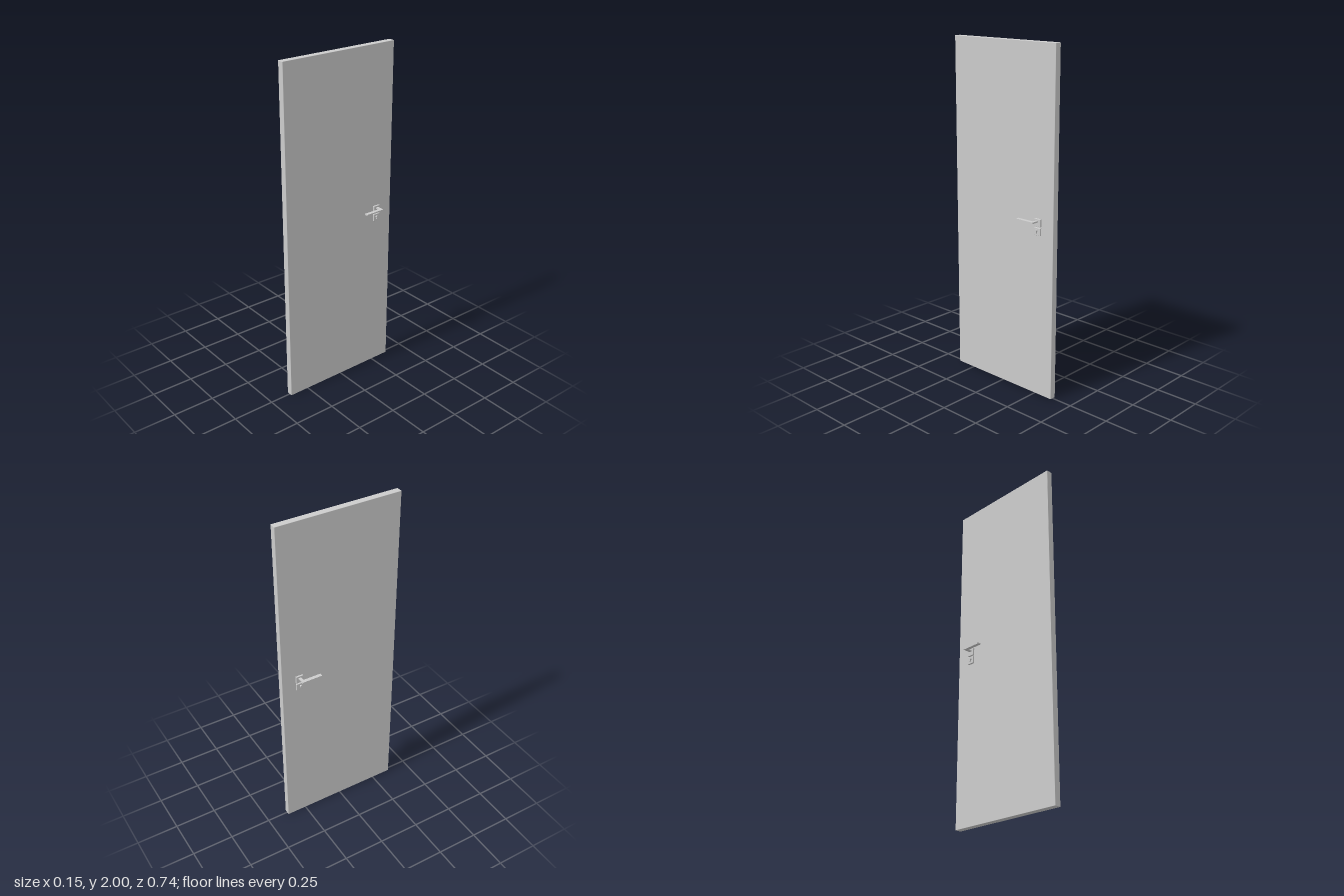
import * as THREE from 'three';
import { RoundedBoxGeometry } from 'three/addons/geometries/RoundedBoxGeometry.js';

const material = new THREE.MeshStandardMaterial({ color: 0xcccccc });
const LOCK_Z = -0.264;

function part(name, geometry, x = 0, y = 0, z = 0) {
  const mesh = new THREE.Mesh(geometry, material);
  mesh.name = name;
  mesh.position.set(x, y, z);
  return mesh;
}

// Square cover plate standing off the door face
function plate(name, y) {
  return part(name, new RoundedBoxGeometry(0.014, 0.044, 0.044, 2, 0.002), 0.0215, y, LOCK_Z);
}

// L-shaped flat lever, drawn in plan and extruded upwards
function leverGeometry() {
  const s = new THREE.Shape();
  s.moveTo(0.026, 0.256);
  s.lineTo(0.050, 0.256);
  s.quadraticCurveTo(0.055, 0.256, 0.055, 0.251);
  s.lineTo(0.055, 0.150);
  s.lineTo(0.076, 0.150);
  s.lineTo(0.076, 0.272);
  s.lineTo(0.026, 0.272);
  s.closePath();
  const g = new THREE.ExtrudeGeometry(s, { depth: 0.008, bevelEnabled: false, curveSegments: 6 });
  return g.rotateX(-Math.PI / 2); // plan y becomes -z
}

// Lock barrel: round head with a narrower tail below
function barrelGeometry() {
  const r = 0.0065, w = 0.0035, a = Math.asin(w / r);
  const s = new THREE.Shape();
  s.absarc(0, 0, r, -Math.PI / 2 + a, Math.PI * 1.5 - a, false);
  s.lineTo(-w, -0.012);
  s.absarc(0, -0.012, w, Math.PI, Math.PI * 2, false);
  s.closePath();
  const g = new THREE.ExtrudeGeometry(s, { depth: 0.012, bevelEnabled: false, curveSegments: 16 });
  return g.rotateY(Math.PI / 2);
}

// Handle, plates and lock on the +x face
function hardware(name) {
  const group = new THREE.Group();
  group.name = name;
  group.add(
    plate('handlePlate', 1.03),
    part('lever', leverGeometry(), 0, 1.034, 0),
    plate('lockPlate', 0.979),
    part('lockBarrel', barrelGeometry(), 0.026, 0.984, -0.26),
  );
  return group;
}

export function createModel() {
  const model = new THREE.Group();
  model.name = 'door';
  model.add(part('doorLeaf', new RoundedBoxGeometry(0.038, 2, 0.742, 2, 0.002), 0, 1, 0));

  // Same hardware mirrored on both faces
  const left = hardware('leftHardware');
  const right = hardware('rightHardware');
  right.scale.x = -1;
  model.add(left, right);
  return model;
}
